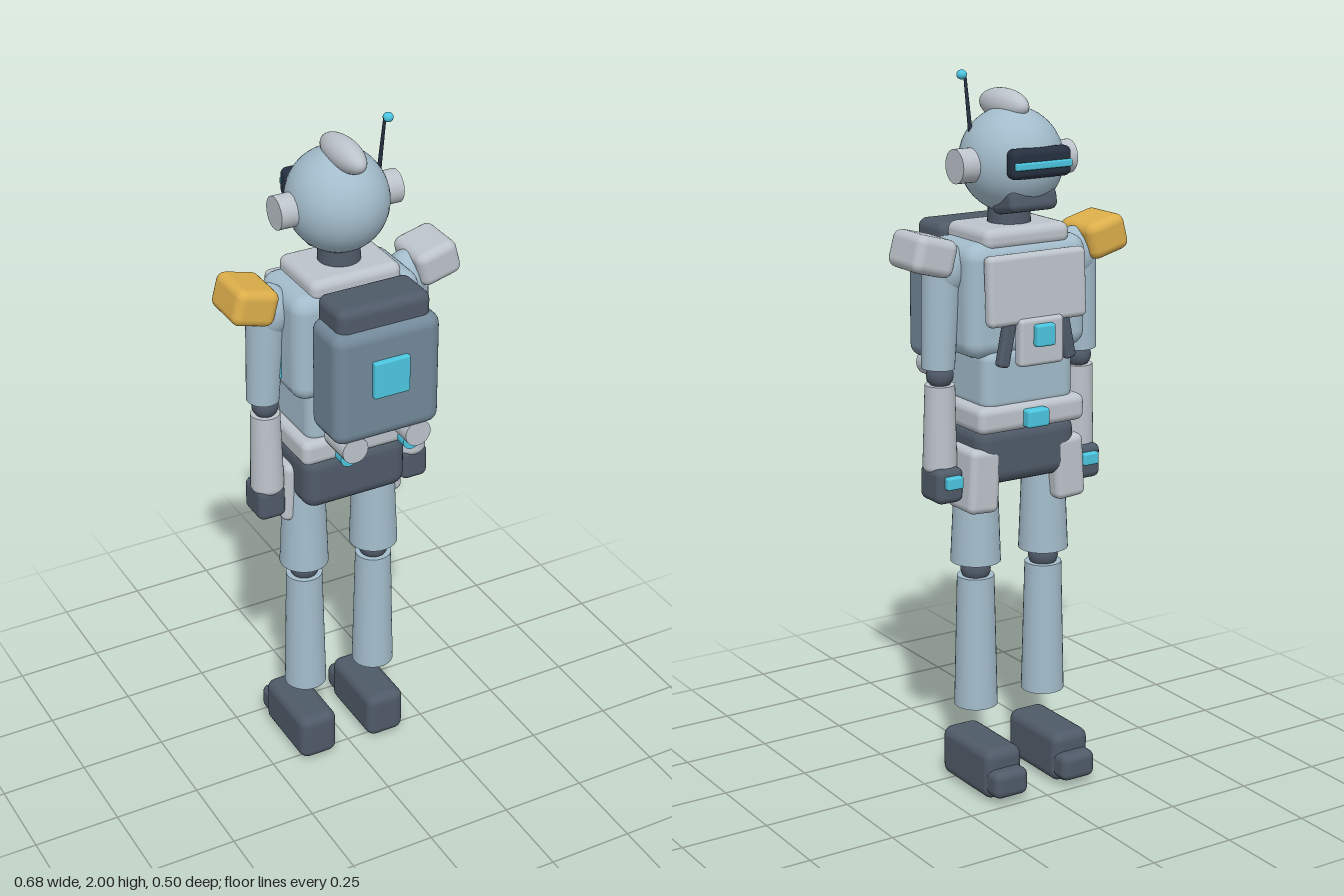
import * as THREE from 'three';
import { RoundedBoxGeometry } from 'three/addons/geometries/RoundedBoxGeometry.js';

const mat = (color) => new THREE.MeshStandardMaterial({ color });
const BODY = mat(0xa3bccb), LIGHT = mat(0xbcc3ca), DARK = mat(0x4f5a68), PACK = mat(0x728899),
  VISOR = mat(0x263040), GLOW = mat(0x4cc6e0), GOLD = mat(0xdcae4a);

export function createModel() {
  const model = new THREE.Group();
  model.name = 'robot';

  const add = (name, geometry, material, pos, rot = [0, 0, 0]) => {
    const m = new THREE.Mesh(geometry, material);
    m.name = name;
    m.position.set(...pos);
    m.rotation.set(...rot);
    model.add(m);
    return m;
  };
  const box = (name, material, size, pos, radius = 0.02, rot) =>
    add(name, new RoundedBoxGeometry(...size, 3, Math.min(radius, Math.min(...size) * 0.49)), material, pos, rot);
  const ball = (name, material, radii, pos, rot) => {
    const m = add(name, new THREE.SphereGeometry(1, 40, 28), material, pos, rot);
    m.scale.set(...radii);
    return m;
  };
  const tube = (name, material, rTop, rBottom, height, pos, rot) =>
    add(name, new THREE.CylinderGeometry(rTop, rBottom, height, 32), material, pos, rot);
  // Tapered limb between two points
  const limb = (name, material, a, b, rTop, rBottom) => {
    const top = new THREE.Vector3(...a), bottom = new THREE.Vector3(...b);
    const dir = top.clone().sub(bottom);
    const m = tube(name, material, rTop, rBottom, dir.length(), top.add(bottom).multiplyScalar(0.5).toArray());
    m.quaternion.setFromUnitVectors(new THREE.Vector3(0, 1, 0), dir.normalize());
    return m;
  };

  // Head, its face points to -z
  ball('head', BODY, [0.138, 0.142, 0.147], [0, 1.762, -0.06]);
  ball('crest', LIGHT, [0.041, 0.043, 0.105], [0, 1.904, -0.025]);
  box('visor', VISOR, [0.186, 0.08, 0.046], [0, 1.77, -0.193], 0.018);
  box('visorLight', GLOW, [0.176, 0.02, 0.014], [0, 1.766, -0.216], 0.005);
  box('jaw', DARK, [0.15, 0.06, 0.11], [0, 1.66, -0.125], 0.02, [0.2, 0, 0]);
  tube('neck', DARK, 0.056, 0.06, 0.08, [0, 1.61, -0.05]);
  limb('antenna', VISOR, [0.109, 1.99, -0.003], [0.105, 1.83, -0.025], 0.004, 0.006);
  ball('antennaTip', GLOW, [0.014, 0.013, 0.014], [0.119, 1.987, -0.004]);

  // Torso
  box('collar', LIGHT, [0.27, 0.06, 0.21], [0, 1.565, -0.045], 0.025);
  box('chest', BODY, [0.38, 0.31, 0.235], [0, 1.403, -0.043], 0.045);
  box('abdomen', BODY, [0.29, 0.18, 0.21], [0, 1.185, -0.055], 0.035);
  box('chestPlate', LIGHT, [0.31, 0.19, 0.038], [0, 1.437, -0.18], 0.016, [0.05, 0, 0]);
  box('chestPanel', LIGHT, [0.14, 0.13, 0.035], [0, 1.295, -0.199], 0.012);
  box('chestLight', GLOW, [0.06, 0.06, 0.025], [0, 1.315, -0.224], 0.007);
  box('belt', LIGHT, [0.34, 0.075, 0.245], [0, 1.083, -0.053], 0.022);
  box('buckle', GLOW, [0.07, 0.05, 0.035], [0, 1.08, -0.185], 0.008);
  box('pelvis', DARK, [0.315, 0.165, 0.215], [0, 0.975, -0.047], 0.04);

  // Backpack
  box('backpack', PACK, [0.316, 0.33, 0.158], [0, 1.355, 0.155], 0.035);
  box('backpackLid', DARK, [0.272, 0.1, 0.137], [0, 1.53, 0.144], 0.025);
  box('backpackLight', GLOW, [0.106, 0.106, 0.025], [0, 1.378, 0.237], 0.005);

  for (const s of [-1, 1]) {
    const side = s > 0 ? 'left' : 'right';
    const n = (part) => side + part;

    tube(n('Ear'), LIGHT, 0.046, 0.046, 0.065, [s * 0.148, 1.757, -0.066], [0, 0, Math.PI / 2]);
    box(n('ChestStrip'), GLOW, [0.016, 0.18, 0.03], [s * 0.193, 1.38, -0.035], 0.005);
    box(n('Strap'), DARK, [0.035, 0.13, 0.03], [s * 0.095, 1.295, -0.182], 0.01, [0, 0, s * 0.2]);

    // Backpack thrusters
    tube(n('Thruster'), LIGHT, 0.038, 0.038, 0.106, [s * 0.095, 1.167, 0.168], [Math.PI / 2, 0, 0]);
    tube(n('ThrusterGlow'), GLOW, 0.026, 0.026, 0.034, [s * 0.095, 1.126, 0.17], [Math.PI / 2, 0, 0]);

    // Arm
    box(n('ShoulderPad'), s < 0 ? GOLD : LIGHT, [0.125, 0.102, 0.158], [s * 0.274, 1.535, -0.057], 0.025, [0, 0, s * 0.26]);
    ball(n('Shoulder'), BODY, [0.058, 0.075, 0.06], [s * 0.208, 1.487, -0.055]);
    limb(n('UpperArm'), BODY, [s * 0.218, 1.48, -0.055], [s * 0.23, 1.22, -0.057], 0.053, 0.045);
    ball(n('Elbow'), DARK, [0.037, 0.036, 0.037], [s * 0.224, 1.2, -0.056]);
    limb(n('Forearm'), LIGHT, [s * 0.224, 1.175, -0.056], [s * 0.224, 0.95, -0.053], 0.041, 0.047);
    ball(n('Wrist'), LIGHT, [0.047, 0.03, 0.047], [s * 0.224, 0.95, -0.053]);
    box(n('Hand'), DARK, [0.083, 0.098, 0.105], [s * 0.225, 0.902, -0.064], 0.02);
    box(n('HandLight'), GLOW, [0.05, 0.035, 0.022], [s * 0.222, 0.915, -0.123], 0.006);

    // Leg
    limb(n('Thigh'), BODY, [s * 0.11, 0.95, -0.055], [s * 0.112, 0.66, -0.055], 0.058, 0.07);
    box(n('ThighPlate'), LIGHT, [0.095, 0.18, 0.135], [s * 0.138, 0.91, -0.088], 0.02, [0, 0, s * 0.06]);
    ball(n('Knee'), DARK, [0.042, 0.04, 0.042], [s * 0.112, 0.637, -0.055]);
    tube(n('Shin'), BODY, 0.052, 0.061, 0.38, [s * 0.112, 0.427, -0.055]);

    // Foot
    box(n('Foot'), DARK, [0.118, 0.144, 0.25], [s * 0.112, 0.077, -0.085], 0.028);
    box(n('Toe'), DARK, [0.108, 0.078, 0.09], [s * 0.112, 0.058, -0.205], 0.022);
    box(n('SoleLight'), GLOW, [0.04, 0.012, 0.16], [s * 0.112, 0.006, -0.115], 0.004);
  }
  return model;
}
